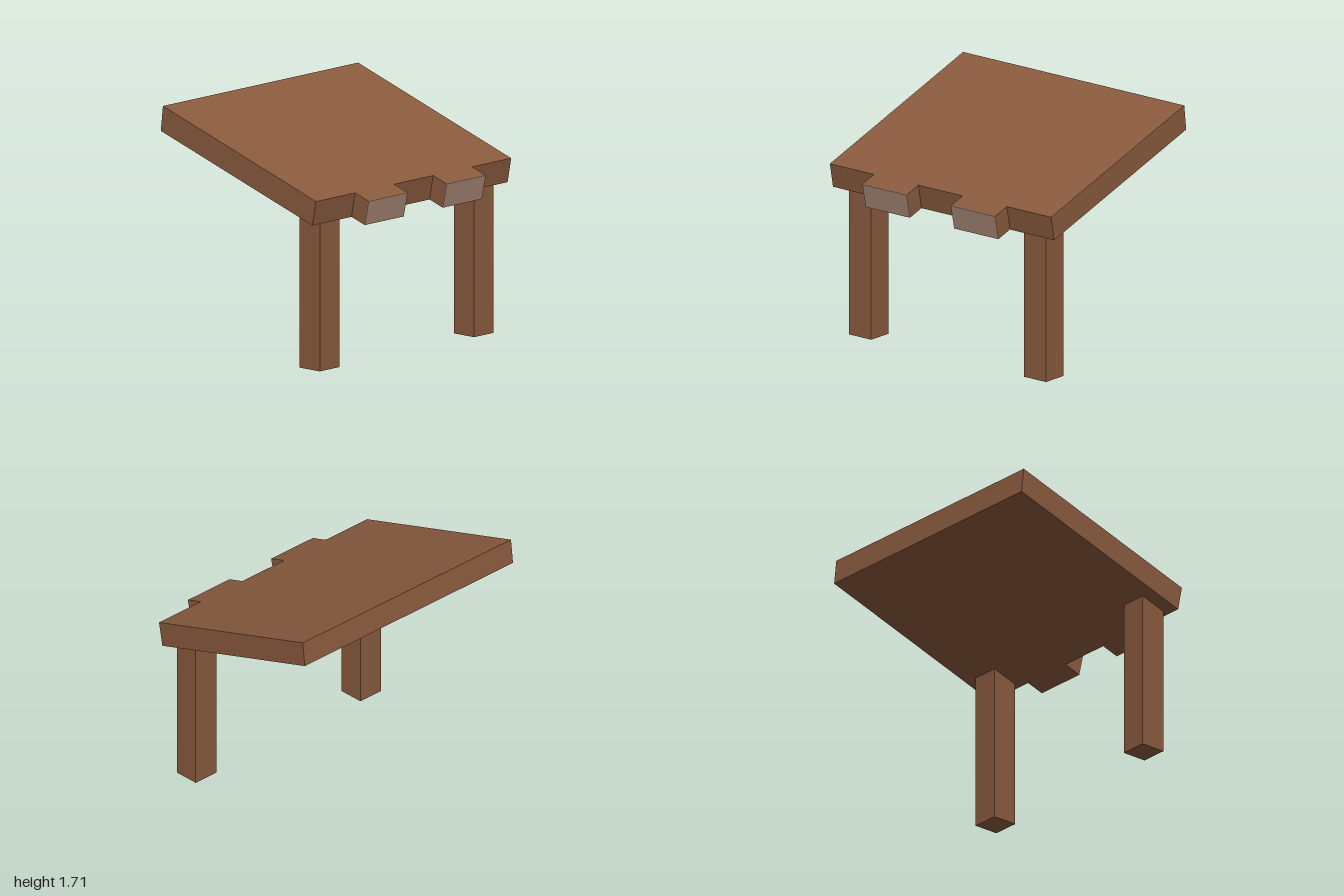
import * as THREE from 'three';

const wood = new THREE.MeshStandardMaterial({ color: 0x8a5b3e });
wood.name = 'brown wood';
const endGrain = new THREE.MeshStandardMaterial({ color: 0xaa8977 });
endGrain.name = 'pale end grain';

// Extrudes an x-y section along z, centred on zMid
function prism(name, points, width, zMid, material) {
  const shape = new THREE.Shape(points.map(([x, y]) => new THREE.Vector2(x, y)));
  const geometry = new THREE.ExtrudeGeometry(shape, { depth: width, bevelEnabled: false });
  geometry.translate(0, 0, zMid - width / 2);
  const mesh = new THREE.Mesh(geometry, material);
  mesh.name = name;
  return mesh;
}

export function createModel() {
  const model = new THREE.Group();
  model.name = 'slopedTable';

  // Sloping slab
  model.add(prism('slab', [[-0.8, 1.528], [0.636, 1.06], [0.67, 1.235], [-0.78, 1.708]], 2, 0, wood));

  for (const side of [1, -1]) {
    const label = side > 0 ? 'front' : 'back';

    // Tab on the low edge, with a pale end face
    const z = side * 0.4;
    model.add(prism(label + 'Tab', [[0.636, 1.06], [0.756, 1.021], [0.794, 1.195], [0.67, 1.235]], 0.4, z, wood));
    model.add(prism(label + 'TabEnd', [[0.756, 1.021], [0.761, 1.019], [0.799, 1.193], [0.794, 1.195]], 0.4, z, endGrain));

    // Square leg, its top running into the slab
    const leg = new THREE.Mesh(new THREE.BoxGeometry(0.19, 1.14, 0.2), wood);
    leg.name = label + 'Leg';
    leg.position.set(0.504, 0.57, side > 0 ? 0.785 : -0.796);
    model.add(leg);
  }
  return model;
}
